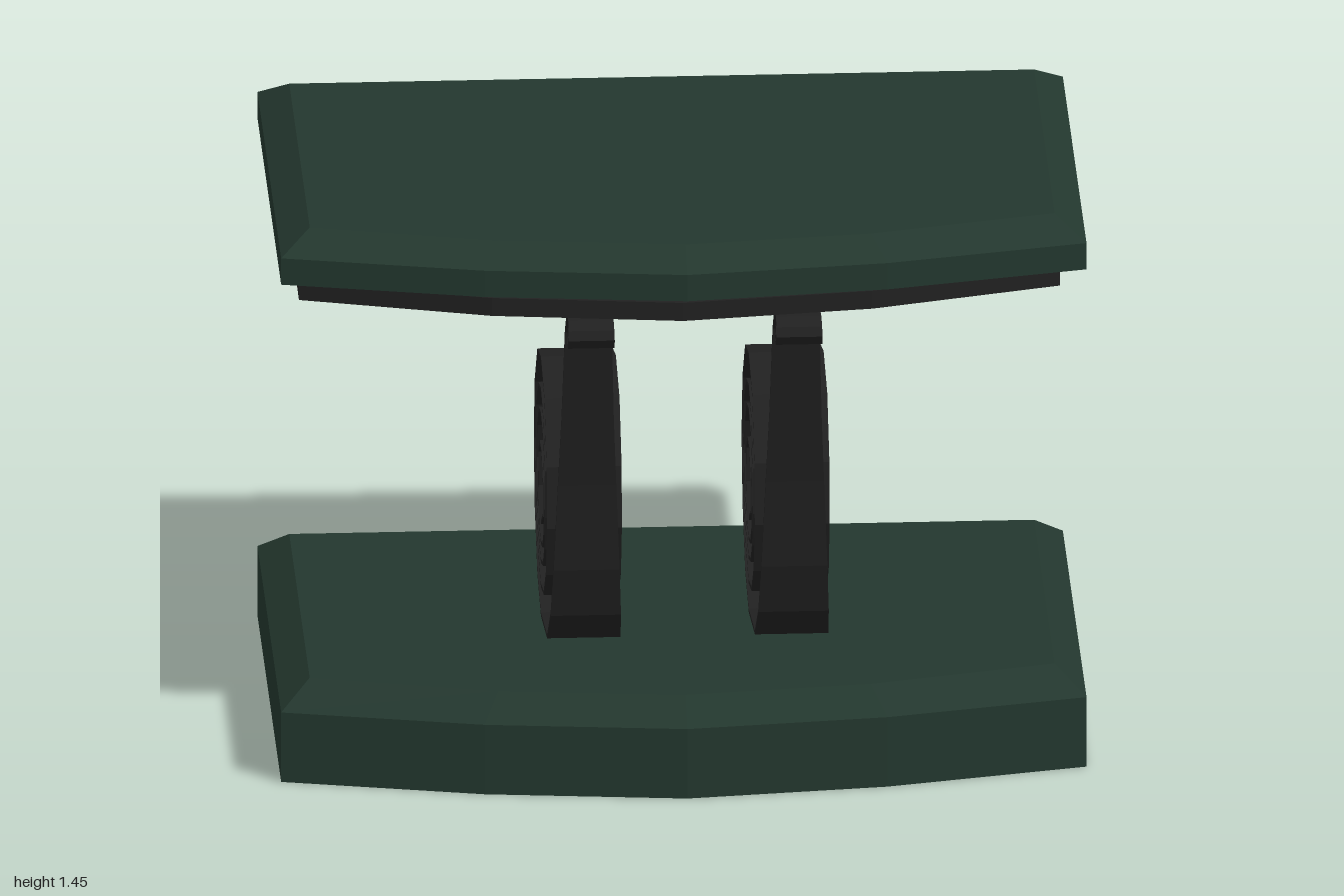
import * as THREE from 'three';

const green = new THREE.MeshStandardMaterial({ color: 0x23372e });
green.name = 'dark green';
const black = new THREE.MeshStandardMaterial({ color: 0x212121 });
black.name = 'black iron';

// Joins equal-length convex loops into a closed, flat-faceted solid.
function loft(name, loops, material) {
  const n = loops[0].length, pos = [];
  const tri = (a, b, c) => pos.push(...a, ...b, ...c);
  for (let k = 0; k < loops.length - 1; k++) {
    const lo = loops[k], hi = loops[k + 1];
    for (let i = 0; i < n; i++) {
      const j = (i + 1) % n;
      tri(lo[i], lo[j], hi[j]);
      tri(lo[i], hi[j], hi[i]);
    }
  }
  const first = loops[0], last = loops[loops.length - 1];
  for (let i = 1; i < n - 1; i++) {
    tri(first[0], first[i + 1], first[i]);
    tri(last[0], last[i], last[i + 1]);
  }
  const geo = new THREE.BufferGeometry();
  geo.setAttribute('position', new THREE.Float32BufferAttribute(pos, 3));
  geo.computeVertexNormals();
  const mesh = new THREE.Mesh(geo, material);
  mesh.name = name;
  return mesh;
}

// Bow-fronted outline: straight back and sides, front bulging in the middle.
const bow = (x0, x1, back, corner, mid, front) => {
  const c = (x0 + x1) / 2, q = (x1 - x0) / 4;
  return [[x0, back], [x0, corner], [c - q, mid], [c, front], [c + q, mid], [x1, corner], [x1, back]];
};
const at = (outline, y) => outline.map(([x, z]) => [x, y, z]);

const OUTER = bow(-1, 1, -0.65, 0.48, 0.59, 0.645);
const INNER = bow(-0.925, 0.925, -0.575, 0.4, 0.515, 0.565);
const slab = (name, y0, y1, y2) => loft(name, [at(OUTER, y0), at(OUTER, y1), at(INNER, y2)], green);

// Centre line of the scroll in [z, y]: small curl, stem, large coil.
function scrollPath() {
  const path = [
    [0.62, 1.225], [0.63, 1.218], [0.642, 1.23], [0.63, 1.245], [0.607, 1.238], [0.6, 1.219],
    [0.611, 1.203], [0.638, 1.207], [0.653, 1.23], [0.645, 1.249], [0.619, 1.264], [0.577, 1.26],
    [0.531, 1.238], [0.496, 1.192], [0.462, 0.95], [0.435, 0.759], [0.412, 0.525],
    [0.374, 0.391], [0.278, 0.295],
  ];
  const cz = 0.021, cy = 0.594;
  // coil radii at every 30 degrees, starting from the bottom
  const radii = [
    0.341, 0.341, 0.337, 0.337, 0.337, 0.341, 0.341, 0.345, 0.314, 0.284, 0.276, 0.268,
    0.264, 0.257, 0.26, 0.26, 0.264, 0.257, 0.257, 0.257, 0.234, 0.207, 0.195, 0.195,
    0.199, 0.199, 0.203, 0.203, 0.199, 0.195, 0.192, 0.195, 0.169, 0.153, 0.149, 0.149, 0.149, 0.153,
  ];
  radii.forEach((r, i) => {
    const a = i * Math.PI / 6;
    path.push([cz - r * Math.sin(a), cy - r * Math.cos(a)]);
  });
  // innermost turn
  path.push([-0.105, 0.548], [-0.098, 0.644], [-0.033, 0.69], [0.048, 0.693],
    [0.113, 0.64], [0.113, 0.552], [0.029, 0.502]);
  return path;
}

// Flat strip bent along the scroll path, tapering towards the small curl.
function scroll(name, x) {
  const path = scrollPath(), T = 0.005, STEM = 19;
  const loops = path.map(([z, y], i) => {
    const p = path[Math.max(i - 1, 0)], q = path[Math.min(i + 1, path.length - 1)];
    const len = Math.hypot(q[0] - p[0], q[1] - p[1]);
    const tz = (q[0] - p[0]) / len * T, ty = (q[1] - p[1]) / len * T;
    let w = 0.093;
    if (i < STEM) {
      w = y < 0.94
        ? THREE.MathUtils.mapLinear(y, 0.25, 0.94, 0.093, 0.065)
        : THREE.MathUtils.mapLinear(y, 0.94, 1.2, 0.065, 0.058);
    }
    return [
      [x - w, y - tz, z + ty], [x + w, y - tz, z + ty],
      [x + w, y + tz, z - ty], [x - w, y + tz, z - ty],
    ];
  });
  return loft(name, loops, black);
}

export function createModel() {
  const model = new THREE.Group();
  model.name = 'scrollTable';
  model.add(slab('base', 0, 0.185, 0.245));
  model.add(slab('tableTop', 1.325, 1.395, 1.445));

  // Thin plate under the top, slightly lower at the front
  const plate = bow(-0.955, 0.935, -0.645, 0.465, 0.595, 0.653);
  const under = plate.map(([x, z]) => [x, 1.281 - 0.005 * z / 0.65, z]);
  model.add(loft('underPlate', [under, at(plate, 1.324)], black));

  model.add(scroll('rightScroll', -0.238), scroll('leftScroll', 0.278));
  return model;
}
